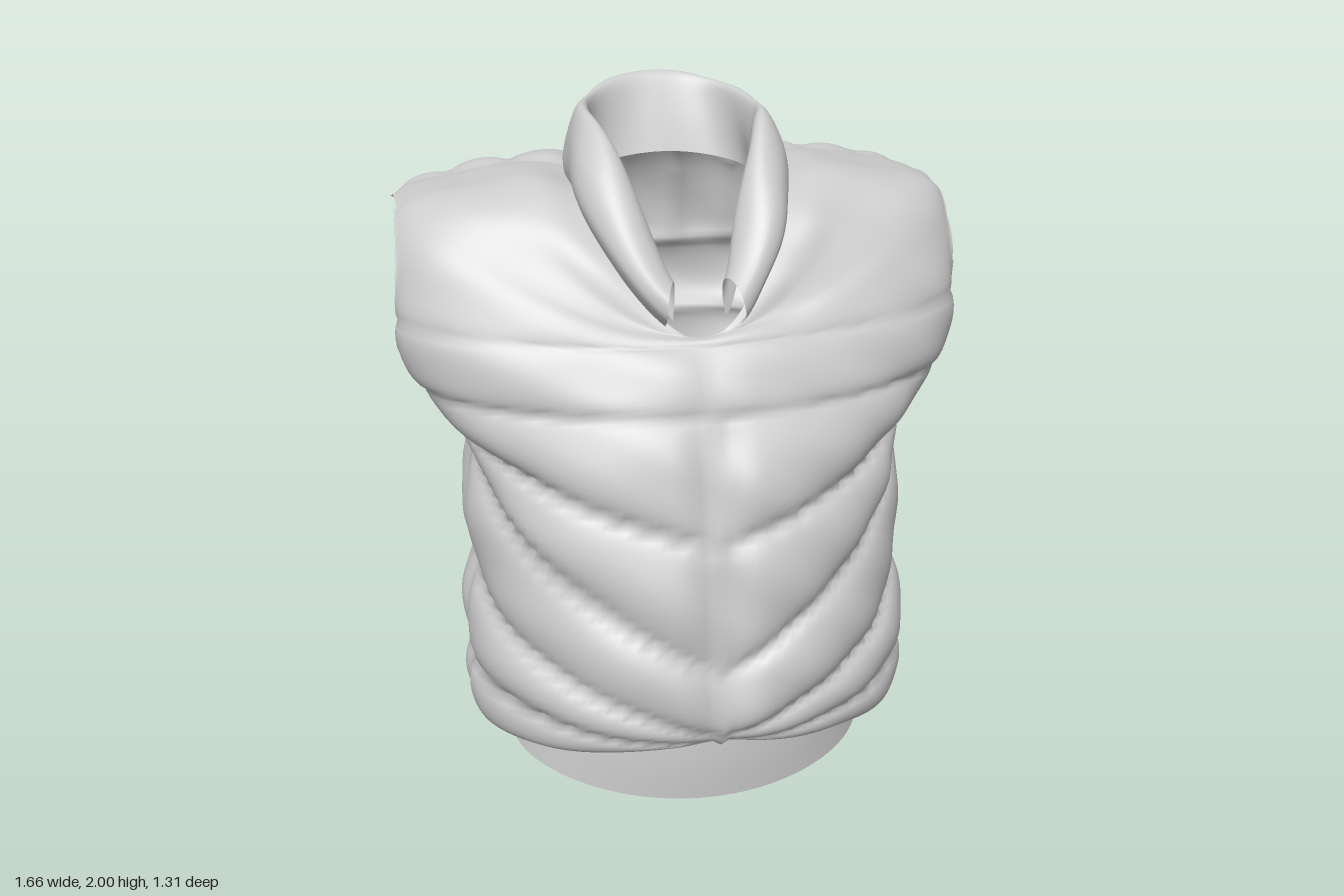
import * as THREE from 'three';

const material = new THREE.MeshStandardMaterial({ color: 0xcccccc, side: THREE.DoubleSide });
const { lerp, clamp, smoothstep } = THREE.MathUtils;

// Smooth curve through equally spaced key values
function spline(keys, t) {
  const i = Math.min(Math.floor(t), keys.length - 2), f = t - i;
  const p = (k) => keys[clamp(k, 0, keys.length - 1)];
  return keys[0].map((_, n) => {
    const a = p(i - 1)[n], b = p(i)[n], c = p(i + 1)[n], d = p(i + 2)[n];
    return b + 0.5 * f * (c - a + f * (2 * a - 5 * b + 4 * c - d + f * (3 * (b - c) + d - a)));
  });
}

// Point on a ring: half width, z at side / front / back, y at side / front / back,
// and the roundness of the front and back halves
function ringPoint([hx, zs, zf, zb, ys, yf, yb, nf, nb], a) {
  const c = Math.cos(a), s = Math.sin(a), n = s > 0 ? nf : nb;
  const r = (Math.abs(c) ** n + Math.abs(s) ** n) ** (-1 / n);
  const depth = s > 0 ? zf - zs : zs - zb;
  return [hx * c * r, lerp(ys, s > 0 ? yf : yb, Math.abs(s) ** 2.2), zs + depth * s * r];
}

// Skin over a stack of rings, from angle a0 to a1
function loft(keys, perKey, cols, a0 = 0, a1 = Math.PI * 2) {
  const closed = a1 - a0 > 6.28, n = closed ? cols : cols + 1;
  const rows = (keys.length - 1) * perKey, pos = [], index = [];
  for (let i = 0; i <= rows; i++) {
    const ring = spline(keys, i / perKey);
    for (let j = 0; j < n; j++) pos.push(...ringPoint(ring, lerp(a0, a1, j / cols)));
  }
  for (let i = 0; i < rows; i++) for (let j = 0; j < cols; j++) {
    const a = i * n + j, b = i * n + (j + 1) % n;
    index.push(a, a + n, b, b, a + n, b + n);
  }
  const g = new THREE.BufferGeometry();
  g.setAttribute('position', new THREE.Float32BufferAttribute(pos, 3));
  g.setIndex(index);
  g.computeVertexNormals();
  return g;
}

// Moves every vertex along its normal by height(x, y, z, vertex index)
function puffUp(g, height) {
  const p = g.attributes.position, n = g.attributes.normal;
  for (let i = 0; i < p.count; i++) {
    const h = height(p.getX(i), p.getY(i), p.getZ(i), i);
    p.setXYZ(i, p.getX(i) + n.getX(i) * h, p.getY(i) + n.getY(i) * h, p.getZ(i) + n.getZ(i) * h);
  }
  g.computeVertexNormals();
}

// Quilting seam heights: front centre, sides and back
const frontSeams = [0.23, 0.25, 0.28, 0.47, 0.85, 1.2, 1.37, 1.75];
const sideSeams = [0.13, 0.34, 0.64, 1.04, 1.12, 1.2, 1.4, 1.8];
const backSeams = [0.12, 0.34, 0.52, 0.73, 0.97, 1.18, 1.4];

// Padding profile between neighbouring seams, 0 at a seam and 1 between
function padding(seams, y) {
  for (let i = 0; i + 1 < seams.length; i++) {
    const f = (y - seams[i]) / (seams[i + 1] - seams[i]);
    if (f >= 0 && f < 1) return Math.sqrt(4 * f * (1 - f)) * Math.min(1, (seams[i + 1] - seams[i]) / 0.18);
  }
  return 0;
}

const COLS = 168;
function quilting(x, y, z, i) {
  const a = (i % COLS) / COLS * Math.PI * 2, s = Math.sin(a), ax = Math.abs(x);
  const low = 1 - smoothstep(y, 1.05, 1.3);
  const wrinkle = 0.006 * Math.sin(13 * x + 9 * y) * Math.sin(17 * y - 11 * z + 3 * x);
  let h;
  if (s >= 0) {
    // Chevron puffs with a raised zip line down the middle
    const u = 1 - Math.asin(s) / (Math.PI / 2);
    h = 0.05 * padding(frontSeams.map((f, k) => lerp(f, sideSeams[k], u)), y) * lerp(0.3, 1, low);
    h *= smoothstep(ax, -0.05, 0.12);
    h += 0.014 * Math.exp(-((ax / 0.012) ** 2)) * low;
  } else if (s > -0.5) {
    h = 0.05 * padding(sideSeams, y) * lerp(0.3, 1, low);
  } else {
    // Horizontal back puffs, then upright ones over the shoulder blades
    const upright = 0.024 * Math.abs(Math.cos(Math.PI * x / 0.18)) ** 0.6 * smoothstep(y, 1.36, 1.46);
    const outer = smoothstep(ax, 0.42, 0.62) * (1 - low);
    h = 0.055 * padding(backSeams, y) * lerp(1, 0.3, outer) + upright;
  }
  // Upright panel edges along the sides and the back
  const side = lerp(1, smoothstep(Math.abs(s), -0.14, 0.12), low);
  const edge = smoothstep(Math.abs(s + 0.5), -0.08, 0.12);
  const collarFade = smoothstep(Math.hypot(x, z + 0.05), 0.28, 0.42);
  return (h * side * edge - 0.022 * low + wrinkle) * collarFade;
}

// Cuts an oval opening through both sides and snaps its edge to the oval
function cutArmholes(g) {
  const cy = 1.455, cz = -0.212, ry = 0.235, rz = 0.255;
  const p = g.attributes.position, idx = g.index.array;
  const radius = (i) => Math.abs(p.getX(i)) < 0.55 ? 9
    : Math.hypot((p.getY(i) - cy) / ry, (p.getZ(i) - cz) / rz);
  const r = Array.from({ length: p.count }, (_, i) => radius(i)), kept = [];
  for (let t = 0; t < idx.length; t += 3) {
    const tri = [idx[t], idx[t + 1], idx[t + 2]];
    if (tri.some((i) => r[i] >= 1)) kept.push(...tri);
  }
  for (const i of new Set(kept)) if (r[i] < 1) {
    p.setY(i, cy + (p.getY(i) - cy) / r[i]);
    p.setZ(i, cz + (p.getZ(i) - cz) / r[i]);
  }
  g.setIndex(kept);
  g.computeVertexNormals();
}

export function createModel() {
  const group = new THREE.Group();
  const add = (name, geometry) => {
    const mesh = new THREE.Mesh(geometry, material);
    mesh.name = name;
    group.add(mesh);
  };

  // Padded body from the tucked hem up to the neckline
  const body = loft([
    [0.53, 0.09, 0.50, -0.32, 0.22, 0.28, 0.19, 2, 2],
    [0.62, 0.08, 0.61, -0.41, 0.15, 0.24, 0.13, 2, 2.2],
    [0.65, 0.06, 0.65, -0.45, 0.23, 0.31, 0.22, 2, 2.3],
    [0.655, 0.05, 0.635, -0.45, 0.44, 0.45, 0.43, 2, 2.4],
    [0.635, 0.04, 0.61, -0.475, 0.62, 0.63, 0.62, 2, 2.4],
    [0.635, 0.03, 0.575, -0.535, 0.85, 0.85, 0.85, 2, 2.4],
    [0.635, 0.03, 0.53, -0.57, 1.02, 1.03, 1.04, 2, 2.4],
    [0.72, 0.03, 0.465, -0.585, 1.13, 1.2, 1.19, 2, 2.6],
    [0.795, 0.04, 0.415, -0.59, 1.25, 1.3, 1.31, 1.9, 3],
    [0.82, 0.03, 0.375, -0.59, 1.42, 1.36, 1.43, 1.8, 3.8],
    [0.815, -0.04, 0.36, -0.575, 1.57, 1.385, 1.55, 1.6, 4.2],
    [0.785, -0.11, 0.35, -0.545, 1.68, 1.39, 1.65, 1.5, 4],
    [0.6, -0.12, 0.34, -0.5, 1.735, 1.39, 1.72, 1.6, 3],
    [0.43, -0.1, 0.335, -0.46, 1.76, 1.39, 1.75, 1.8, 2.5],
    [0.29, -0.08, 0.335, -0.41, 1.74, 1.385, 1.76, 1.9, 2.3],
  ], 8, COLS);
  puffUp(body, quilting);
  cutArmholes(body);
  add('paddedBody', body);

  // Standing collar with broad front flaps, folded over to an inner layer
  const collar = loft([
    [0.31, -0.08, 0.345, -0.40, 1.73, 1.38, 1.75, 2.1, 2.3],
    [0.32, -0.08, 0.39, -0.41, 1.79, 1.41, 1.83, 2.2, 2.3],
    [0.305, -0.09, 0.405, -0.405, 1.87, 1.46, 1.91, 1.9, 2.3],
    [0.27, -0.1, 0.385, -0.415, 1.94, 1.49, 1.99, 1.5, 2.3],
    [0.245, -0.1, 0.375, -0.385, 1.93, 1.48, 1.98, 1.2, 2.3],
    [0.235, -0.1, 0.355, -0.34, 1.84, 1.43, 1.88, 1.2, 2.6],
    [0.245, -0.1, 0.34, -0.30, 1.73, 1.38, 1.77, 1.4, 3],
  ], 5, 96, Math.PI * 0.61, Math.PI * 2.39);
  puffUp(collar, (x, y, z) => 0.007 * Math.sin(17 * x + 11 * y) * Math.sin(19 * z + 7 * y));
  add('collar', collar);

  // Smooth waistband below the hem
  add('waistband', loft([
    [0.545, 0.09, 0.50, -0.315, 0.05, 0.0, 0.04, 2, 2],
    [0.525, 0.09, 0.505, -0.31, 0.14, 0.12, 0.12, 2, 2],
    [0.51, 0.09, 0.50, -0.31, 0.26, 0.28, 0.24, 2, 2],
  ], 4, 96));

  return group;
}
